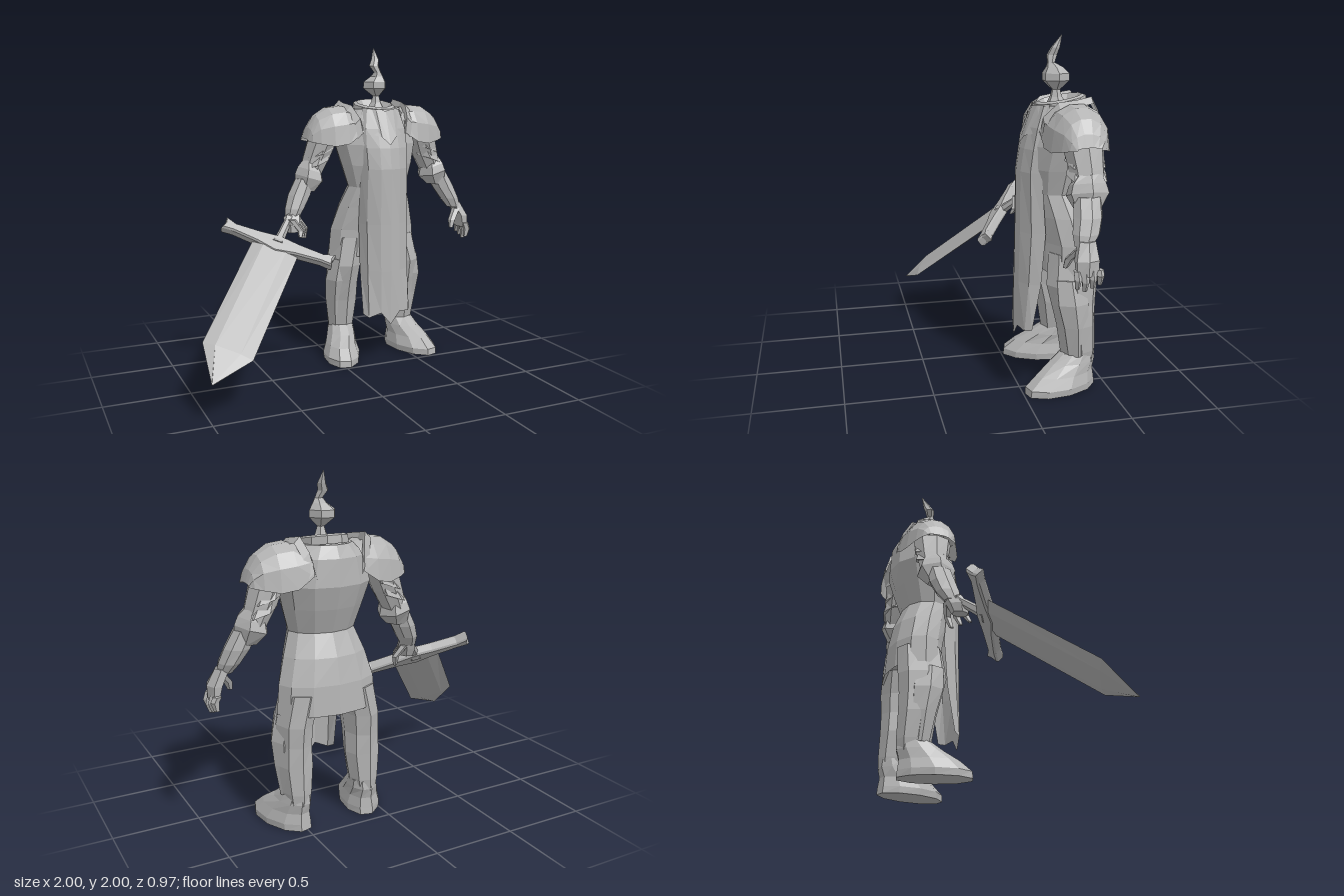
import * as THREE from 'three';

const CX = 0.31; // the body's centre line
const steel = new THREE.MeshStandardMaterial({ color: 0xb4b4b4, flatShading: true, side: THREE.DoubleSide });
steel.name = 'steel';

// Surface through rows of points; closed rings also get end caps
function skin(rows, closed) {
  const n = rows[0].length, pos = rows.flat(2), idx = [];
  for (let r = 0; r < rows.length - 1; r++) {
    for (let i = 0; i < (closed ? n : n - 1); i++) {
      const a = r * n + i, b = r * n + (i + 1) % n;
      idx.push(a, a + n, b, b, a + n, b + n);
    }
  }
  if (closed) {
    [0, rows.length - 1].forEach((r, end) => {
      const c = pos.length / 3;
      pos.push(...[0, 1, 2].map(k => rows[r].reduce((s, p) => s + p[k] / n, 0)));
      for (let i = 0; i < n; i++) {
        const a = r * n + i, b = r * n + (i + 1) % n;
        idx.push(c, end ? b : a, end ? a : b);
      }
    });
  }
  const g = new THREE.BufferGeometry();
  g.setAttribute('position', new THREE.Float32BufferAttribute(pos, 3));
  g.setIndex(idx);
  const flat = g.toNonIndexed();
  flat.computeVertexNormals();
  return flat;
}

// Elliptical rings, bottom to top: [x, y, z, rx, rz, tilt, turn]
function loft(sections, n = 8) {
  return skin(sections.map(([x, y, z, rx, rz, tilt = 0, turn = 0]) =>
    Array.from({ length: n }, (_, i) => {
      const a = (i / n) * Math.PI * 2, u = rx * Math.cos(a), v = rz * Math.sin(a);
      const dx = u * Math.cos(turn) + v * Math.sin(turn);
      return [x + dx, y + tilt * dx, z + v * Math.cos(turn) - u * Math.sin(turn)];
    })), true);
}

function add(parent, name, geometry) {
  const m = new THREE.Mesh(geometry, steel);
  m.name = name;
  parent.add(m);
  return m;
}

export function createModel() {
  const model = new THREE.Group();
  model.name = 'knight';

  // Torso with flared skirt: [y, z, rx, rz]
  add(model, 'torso', loft([
    [0.76, -0.31, 0.25, 0.13], [0.68, -0.31, 0.31, 0.17], [0.85, -0.305, 0.295, 0.165],
    [1.0, -0.275, 0.25, 0.165], [1.13, -0.235, 0.2, 0.15], [1.27, -0.25, 0.24, 0.19],
    [1.4, -0.275, 0.275, 0.205], [1.55, -0.285, 0.23, 0.185], [1.62, -0.28, 0.16, 0.155],
  ].map(([y, z, rx, rz]) => [CX, y, z, rx, rz]), 12));
  // Neck opening, higher at the back
  add(model, 'collar', skin([[0.14, 0.15, 1.6], [0.135, 0.145, 1.645], [0.115, 0.125, 1.655], [0.08, 0.09, 1.6]]
    .map(([rx, rz, y]) => Array.from({ length: 10 }, (_, i) => {
      const a = i / 10 * Math.PI * 2, v = rz * Math.sin(a);
      return [CX + rx * Math.cos(a), y - 0.18 * v, -0.275 + v];
    })), true));

  // Narrow neck, small bulb and twisted plume
  add(model, 'headSpire', loft([
    [CX, 1.59, -0.26, 0.08, 0.08], [CX, 1.66, -0.25, 0.035, 0.035], [CX, 1.7, -0.25, 0.022, 0.025],
    [0.3, 1.75, -0.25, 0.08, 0.08], [0.3, 1.79, -0.25, 0.078, 0.08], [0.31, 1.825, -0.24, 0.042, 0.05],
    [0.305, 1.85, -0.22, 0.025, 0.022], [0.285, 1.89, -0.23, 0.033, 0.03],
    [0.3, 1.93, -0.245, 0.026, 0.026], [0.305, 2, -0.28, 0.003, 0.003],
  ], 6));

  // Long front cloth with a ragged hem: [y, half width, front z, side z]
  const across = [[-1, 1], [-0.85, 0.45], [-0.4, 0.1], [0, 0], [0.4, 0.1], [0.85, 0.45], [1, 1]];
  const hem = [0, -0.02, 0.01, -0.07, 0.01, 0, 0.01];
  add(model, 'tabard', skin([
    [0.32, 0.165, -0.01, -0.08], [0.6, 0.165, -0.01, -0.13], [0.9, 0.165, -0.015, -0.155],
    [1.25, 0.16, -0.02, -0.13], [1.38, 0.165, -0.04, -0.14], [1.5, 0.16, -0.075, -0.15],
    [1.62, 0.13, -0.125, -0.18],
  ].map(([y, w, zf, zs], r) => across.map(([u, t], i) =>
    [CX + u * w, y + (r ? 0 : hem[i]), zf + t * (zs - zf)])), false));
  add(model, 'bib', skin([
    [[-0.15, 1.48, -0.12], [-0.05, 1.45, -0.055], [0, 1.4, -0.035], [0.05, 1.45, -0.055], [0.15, 1.48, -0.12]],
    [[-0.13, 1.63, -0.18], [-0.06, 1.62, -0.125], [0, 1.61, -0.11], [0.06, 1.62, -0.125], [0.13, 1.63, -0.18]],
  ].map(row => row.map(([x, y, z]) => [CX + x, y, z])), false));

  for (const s of [1, -1]) {
    const side = new THREE.Group();
    side.name = s > 0 ? 'leftLimbs' : 'rightLimbs';
    model.add(side);
    // Sections given outward from the centre line
    const limb = (name, sections, n = 8) => add(side, name, loft(sections.map(
      ([x, y, z, rx, rz, tilt = 0, turn = 0]) => [CX + s * x, y, z, rx, rz, s * tilt, s * turn]), n));

    // Shoulder armour as arches running outward: [x, low y, top y, front z, back z]
    add(side, 'pauldron', skin([
      [0.15, 1.47, 1.615, -0.125, -0.475], [0.24, 1.41, 1.645, -0.115, -0.48], [0.33, 1.395, 1.635, -0.13, -0.46],
      [0.41, 1.41, 1.585, -0.165, -0.425], [0.455, 1.42, 1.51, -0.195, -0.395], [0.475, 1.425, 1.44, -0.23, -0.37],
    ].map(([x, low, top, zf, zb]) => Array.from({ length: 8 }, (_, i) => {
      const a = (i / 7) * Math.PI;
      return [CX + s * x, low + (top - low) * Math.sin(a) ** 0.8, (zf + zb) / 2 + (zf - zb) / 2 * Math.cos(a)];
    })), false));
    // Raised inner rim of the shoulder armour
    const rim = [[0.15, 1.46, -0.12], [0.165, 1.55, -0.13], [0.19, 1.63, -0.21], [0.21, 1.645, -0.31],
      [0.195, 1.66, -0.395], [0.165, 1.58, -0.445], [0.15, 1.48, -0.475]];
    add(side, 'shoulderRim', skin([[-0.015, -0.03], [0, 0.015], [0.035, -0.02]].map(
      ([o, h]) => rim.map(([x, y, z]) => [CX + s * (x + o), y + h, z])), false));

    // Arm with overlapping bands and pointed elbow guard
    limb('upperArm', [[0.44, 1.2, -0.31, 0.07, 0.085], [0.39, 1.32, -0.31, 0.09, 0.1],
      [0.34, 1.46, -0.3, 0.1, 0.12]]);
    for (const [x, y] of [[0.405, 1.28], [0.375, 1.35]]) {
      limb('armBand', [[x, y, -0.31, 0.1, 0.115, -0.35], [x - 0.03, y + 0.07, -0.31, 0.08, 0.09, -0.35]], 7);
    }
    limb('elbowGuard', [[0.47, 1.11, -0.29, 0.065, 0.07], [0.445, 1.19, -0.3, 0.095, 0.12, 0.3],
      [0.44, 1.24, -0.3, 0.08, 0.105, 0.3], [0.44, 1.31, -0.31, 0.035, 0.06]], 6);
    limb('forearm', [[0.585, 0.95, -0.24, 0.045, 0.05], [0.56, 1.01, -0.26, 0.062, 0.075],
      [0.52, 1.09, -0.28, 0.075, 0.08], [0.475, 1.19, -0.29, 0.065, 0.075]]);

    if (s > 0) {
      // Open left hand
      limb('palm', [[0.65, 0.81, -0.24, 0.03, 0.065], [0.64, 0.89, -0.24, 0.045, 0.07],
        [0.595, 0.98, -0.25, 0.045, 0.05]], 6);
      for (let i = 0; i < 4; i++) {
        const z = -0.185 - i * 0.04, low = 0.73 + Math.abs(i - 1) * 0.015;
        limb('finger', [[0.655, low, z, 0.016, 0.012], [0.665, low + 0.05, z, 0.025, 0.02],
          [0.65, 0.84, z, 0.026, 0.022]], 5);
      }
      limb('thumb', [[0.525, 0.82, -0.16, 0.014, 0.014], [0.54, 0.87, -0.175, 0.026, 0.026],
        [0.6, 0.94, -0.22, 0.03, 0.03]], 5);
    } else {
      // Right hand closing on the grip
      limb('palm', [[0.6, 0.87, -0.2, 0.045, 0.05], [0.595, 0.92, -0.21, 0.06, 0.065],
        [0.57, 0.99, -0.25, 0.045, 0.05]], 6);
      for (let i = 0; i < 3; i++) {
        const x = 0.5 + i * 0.03, z = -0.24 + i * 0.045;
        limb('finger', [[x + 0.01, 0.82 + i * 0.012, z + 0.02, 0.012, 0.014],
          [x, 0.88, z, 0.022, 0.022], [x + 0.05, 0.95, z - 0.02, 0.026, 0.026]], 5);
      }
    }

    // Leg, knee guard and broad splayed boot
    limb('leg', [[0.215, 0.15, -0.34, 0.07, 0.1], [0.215, 0.22, -0.34, 0.085, 0.105],
      [0.215, 0.38, -0.325, 0.105, 0.115], [0.215, 0.5, -0.31, 0.1, 0.13],
      [0.21, 0.62, -0.3, 0.105, 0.15], [0.17, 0.8, -0.31, 0.11, 0.14]]);
    limb('kneeGuard', [[0.25, 0.2, -0.32, 0.055, 0.06], [0.26, 0.38, -0.305, 0.072, 0.08],
      [0.265, 0.52, -0.285, 0.075, 0.1], [0.25, 0.66, -0.27, 0.06, 0.09]], 6);
    limb('boot', [[0.255, 0, -0.225, 0.115, 0.225, 0, 0.28], [0.255, 0.04, -0.225, 0.12, 0.22, 0, 0.28],
      [0.245, 0.1, -0.255, 0.1, 0.18, 0, 0.28], [0.225, 0.16, -0.305, 0.09, 0.14, 0, 0.2],
      [0.215, 0.21, -0.335, 0.08, 0.1, 0, 0.2]], 10);
  }

  // Sword, built with x along the guard and y towards the tip
  const sword = new THREE.Group();
  sword.name = 'sword';
  const along = new THREE.Vector3(-0.57, -0.6, 0.58).normalize();
  const guardDir = new THREE.Vector3(0.61, -0.21, 0.33);
  guardDir.addScaledVector(along, -guardDir.dot(along)).normalize();
  const normal = new THREE.Vector3().crossVectors(guardDir, along);
  sword.applyMatrix4(new THREE.Matrix4().makeBasis(guardDir, along, normal).setPosition(-0.427, 0.82, -0.09));
  model.add(sword);

  add(sword, 'blade', loft([[0, 0, 0, 0.145, 0.03], [0, 0.79, 0, 0.148, 0.024], [0, 1.005, 0, 0.004, 0.003]], 6));
  // Bowed cross guard with flared ends
  const half = [[0, -0.045], [0.12, -0.03], [0.28, -0.022], [0.345, -0.045], [0.335, -0.01], [0.345, 0.025],
    [0.28, 0.02], [0.12, 0.035], [0, 0.06]];
  const outline = [...half, ...half.slice(1, -1).reverse().map(([x, y]) => [-x, y])];
  const guard = new THREE.ExtrudeGeometry(new THREE.Shape(outline.map(p => new THREE.Vector2(...p))),
    { depth: 0.04, bevelEnabled: true, bevelThickness: 0.012, bevelSize: 0.008, bevelSegments: 1 });
  add(sword, 'crossGuard', guard.translate(0.005, 0, -0.02));
  add(sword, 'grip', loft([[0, -0.25, 0, 0.02, 0.02], [0, -0.22, 0, 0.035, 0.035],
    [0, -0.19, 0, 0.024, 0.024], [0, -0.04, 0, 0.03, 0.03], [0, 0, 0, 0.055, 0.045]], 6));

  return model;
}
